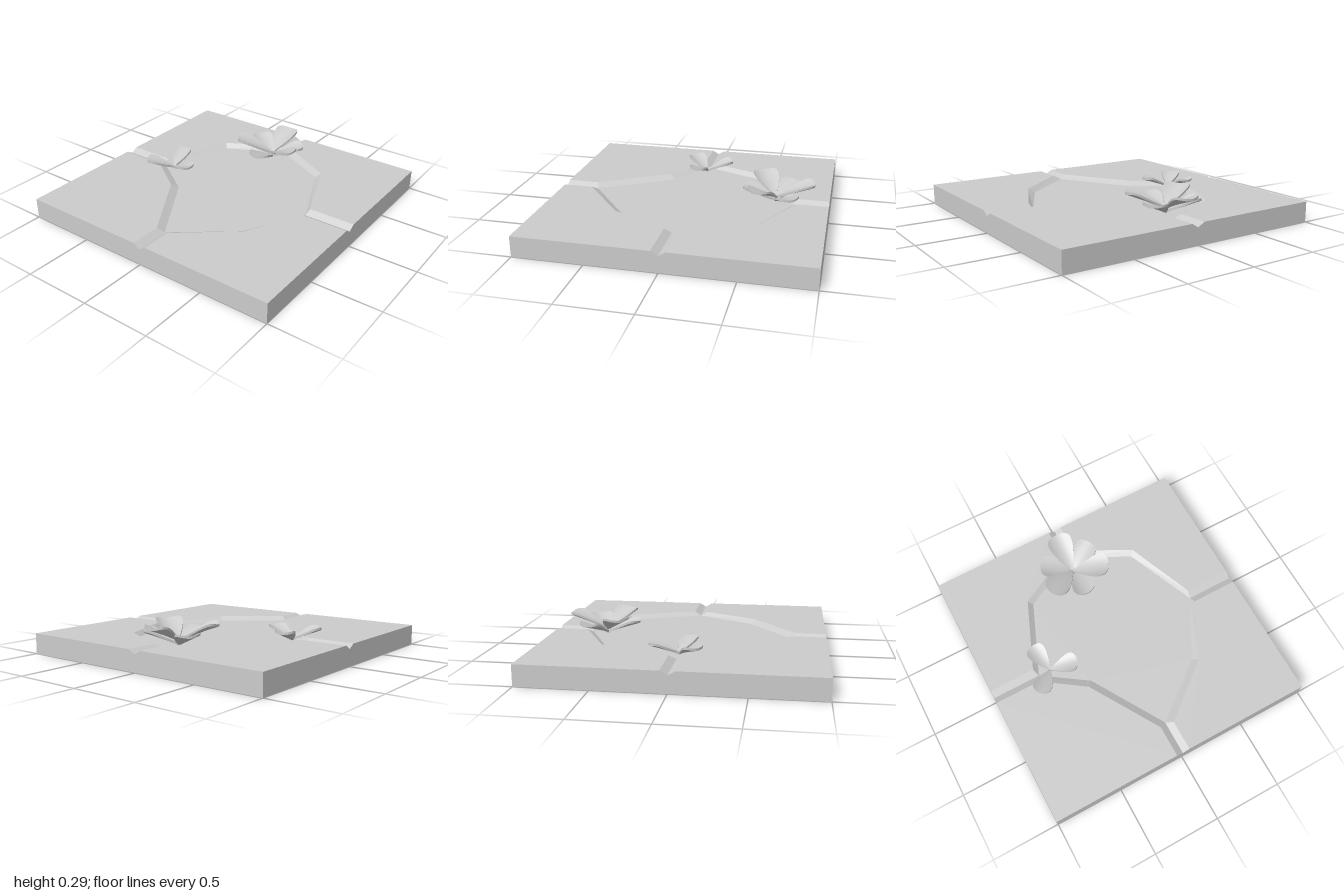
import * as THREE from 'three';

const TOP = 0.15, POND = 0.12;
const grey = new THREE.MeshStandardMaterial({ color: 0xcccccc });
const sheet = new THREE.MeshStandardMaterial({ color: 0xcccccc, side: THREE.DoubleSide });

// Each bank as [x, z] points, clockwise from above: the rim at ground level, the foot at pond level
const banks = [
  { name: 'backRight', corner: [-1, -1],
    rim: [[-1, -0.05], [-0.77, -0.05], [-0.26, -0.36], [-0.05, -0.66], [-0.05, -1]],
    foot: [[-1, 0], [-0.75, 0], [-0.22, -0.32], [0, -0.64], [0, -1]] },
  { name: 'backLeft', corner: [1, -1],
    rim: [[0.05, -1], [0.05, -0.66], [0.555, -0.455], [0.77, -0.05], [1, -0.05]],
    foot: [[0, -1], [0, -0.64], [0.525, -0.425], [0.74, 0], [1, 0]] },
  { name: 'frontLeft', corner: [1, 1],
    rim: [[1, 0.05], [0.77, 0.05], [0.555, 0.455], [0.05, 0.66], [0.05, 1]],
    foot: [[1, 0], [0.74, 0], [0.525, 0.425], [0, 0.65], [0, 1]] },
  { name: 'frontRight', corner: [-1, 1],
    rim: [[-0.05, 1], [-0.05, 0.66], [-0.46, 0.45], [-0.78, 0.05], [-1, 0.05]],
    foot: [[0, 1], [0, 0.65], [-0.43, 0.41], [-0.75, 0], [-1, 0]] },
];

function addMesh(parent, name, geometry, material) {
  const mesh = new THREE.Mesh(geometry, material);
  mesh.name = name;
  parent.add(mesh);
  return mesh;
}

// Horizontal polygon at height y
function flat(points, y) {
  const shape = new THREE.Shape(points.map(([x, z]) => new THREE.Vector2(x, -z)));
  return new THREE.ShapeGeometry(shape).rotateX(-Math.PI / 2).translate(0, y, 0);
}

// Sloping strip from the foot path up to the rim path
function slope(foot, rim) {
  const pos = [];
  const low = (i) => [foot[i][0], POND, foot[i][1]];
  const high = (i) => [rim[i][0], TOP, rim[i][1]];
  for (let i = 0; i < foot.length - 1; i++) {
    pos.push(...low(i), ...low(i + 1), ...high(i + 1), ...low(i), ...high(i + 1), ...high(i));
  }
  const g = new THREE.BufferGeometry();
  g.setAttribute('position', new THREE.Float32BufferAttribute(pos, 3));
  g.computeVertexNormals();
  return g;
}

// Cupped petal growing along +z: narrow root, broad rounded end
function petalGeometry({ length, halfWidth, rise, cup }) {
  const g = new THREE.BoxGeometry(2, 1, 1, 10, 1, 14);
  const p = g.attributes.position;
  for (let i = 0; i < p.count; i++) {
    const v = p.getX(i);
    const u = Math.sin((p.getZ(i) + 0.5) * Math.PI / 2);
    const f = Math.pow(u, 0.9) * Math.sqrt(Math.max(0, 1 - u ** 4)) / 0.637;
    const y = rise * Math.pow(u, 0.85) + cup * (v * f) ** 2;
    p.setXYZ(i, v * halfWidth * Math.max(0.14, f), y + p.getY(i) * 0.016, length * u);
  }
  g.computeVertexNormals();
  return g;
}

// Ring of three petals; angle is measured from +x towards -z
function addRing(parent, name, y, angle, options) {
  const ring = new THREE.Group();
  ring.name = name;
  ring.position.y = y;
  const geometry = petalGeometry(options);
  for (let i = 0; i < 3; i++) {
    const petal = addMesh(ring, 'petal', geometry, grey);
    petal.rotation.y = THREE.MathUtils.degToRad(angle + i * 120 + 90);
  }
  parent.add(ring);
}

export function createModel() {
  const model = new THREE.Group();
  model.name = 'pondTile';

  // Four ground corners with their banks
  for (const { name, corner, rim, foot } of banks) {
    addMesh(model, name + 'Ground', flat([...rim, corner], TOP), sheet);
    addMesh(model, name + 'Bank', slope(foot, rim), sheet);
  }

  // Sunken pond floor
  addMesh(model, 'pondFloor', flat(banks.flatMap((b) => b.foot.slice(1, 3)).concat([]).length
    ? banks.flatMap((b) => b.foot.slice(1, 4)) .filter((q, i, a) => i === 0 || Math.hypot(q[0] - a[i - 1][0], q[1] - a[i - 1][1]) > 0.02)
      .slice(0, -1) : [], POND), sheet);

  // Side walls, each notched by a channel; the underside stays open
  const wall = new THREE.ShapeGeometry(new THREE.Shape(
    [[-1, 0], [1, 0], [1, TOP], [0.05, TOP], [0, POND], [-0.05, TOP], [-1, TOP]]
      .map(([x, y]) => new THREE.Vector2(x, y)))).translate(0, 0, 1);
  ['frontWall', 'leftWall', 'backWall', 'rightWall'].forEach((name, i) => {
    addMesh(model, name, wall, sheet).rotation.y = i * Math.PI / 2;
  });

  // Large flower: a low ring and a taller ring turned between it
  const large = new THREE.Group();
  large.name = 'largeFlower';
  large.position.set(0.615, 0, -0.035);
  addRing(large, 'lowerPetals', 0.135, 60, { length: 0.245, halfWidth: 0.085, rise: 0.085, cup: 0.025 });
  addRing(large, 'upperPetals', 0.16, 0, { length: 0.275, halfWidth: 0.093, rise: 0.11, cup: 0.03 });
  model.add(large);

  // Small flower
  const small = new THREE.Group();
  small.name = 'smallFlower';
  small.position.set(-0.005, 0, -0.545);
  addRing(small, 'petals', 0.135, 14, { length: 0.205, halfWidth: 0.07, rise: 0.07, cup: 0.022 });
  model.add(small);

  return model;
}
